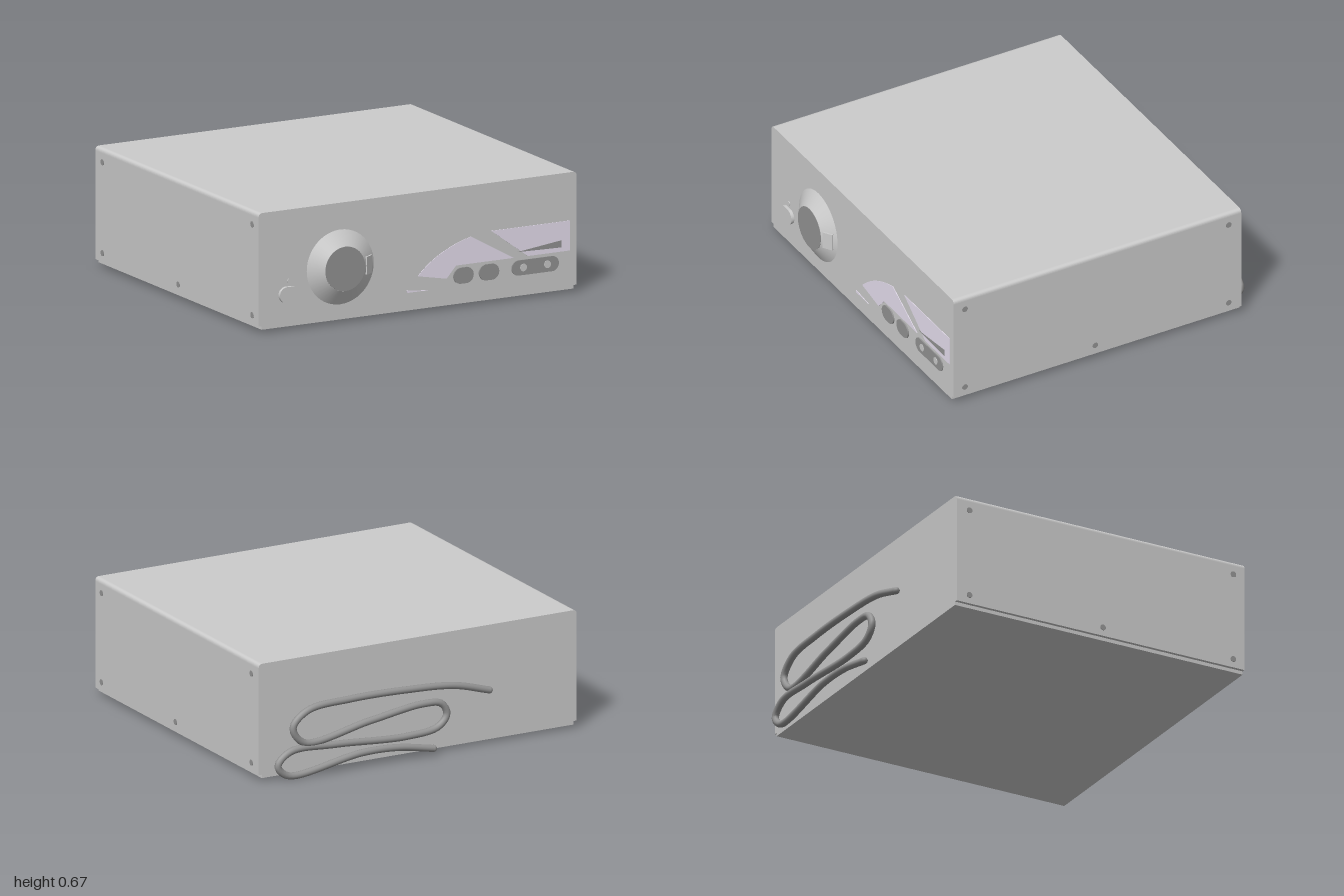
import * as THREE from 'three';

const grey = new THREE.MeshStandardMaterial({ color: 0xcccccc });
const dark = new THREE.MeshStandardMaterial({ color: 0x949494 });
const lilac = new THREE.MeshStandardMaterial({ color: 0xe8e0f0 });
const FRONT = 0.91, BACK = -0.9;

function add(parent, name, geometry, material, x = 0, y = 0, z = 0) {
  const mesh = new THREE.Mesh(geometry, material);
  mesh.name = name;
  mesh.position.set(x, y, z);
  parent.add(mesh);
  return mesh;
}

// Stadium outline centred on the origin
function pill(w, h) {
  const r = h / 2, a = w / 2 - r, s = new THREE.Shape();
  s.absarc(a, 0, r, -Math.PI / 2, Math.PI / 2, false);
  s.absarc(-a, 0, r, Math.PI / 2, Math.PI * 1.5, false);
  s.closePath();
  return s;
}

const extrude = (shape, depth) =>
  new THREE.ExtrudeGeometry(shape, { depth, bevelEnabled: false, curveSegments: 16 });

const polygon = pts => new THREE.Shape(pts.map(p => new THREE.Vector2(...p)));

// Disc facing +z
const disc = (r, depth) => new THREE.CylinderGeometry(r, r, depth, 24).rotateX(Math.PI / 2);

export function createModel() {
  const model = new THREE.Group();

  // Case: wrap-around cover with softened top edges over a narrower base
  const w = 0.997, top = 0.67, r = 0.025, cover = new THREE.Shape();
  cover.moveTo(-w, 0.035);
  cover.lineTo(w, 0.035);
  cover.lineTo(w, top - r);
  cover.quadraticCurveTo(w, top, w - r, top);
  cover.lineTo(-w + r, top);
  cover.quadraticCurveTo(-w, top, -w, top - r);
  cover.closePath();
  add(model, 'cover', extrude(cover, FRONT - BACK), grey, 0, 0, BACK);
  add(model, 'base', new THREE.BoxGeometry(1.955, 0.03, FRONT - BACK), grey, 0, 0.03, (FRONT + BACK) / 2);

  // Side screws
  for (const side of [-1, 1]) {
    for (const [z, y] of [[0.84, 0.595], [0.84, 0.085], [0.02, 0.085], [-0.82, 0.595], [-0.82, 0.085]]) {
      const screw = add(model, 'sideScrew', disc(0.017, 0.01), dark, side * 0.995, y, z);
      screw.rotation.y = Math.PI / 2;
    }
  }

  // Volume knob: cone skirt, dark face and a finger grip set on the slope
  const knob = new THREE.Group();
  knob.name = 'volumeKnob';
  knob.position.set(-0.485, 0.31, FRONT);
  model.add(knob);
  add(knob, 'knobSkirt', new THREE.CylinderGeometry(0.125, 0.21, 0.055, 48).rotateX(Math.PI / 2), grey, 0, 0, 0.0275);
  add(knob, 'knobFace', disc(0.125, 0.004), dark, 0, 0, 0.055);
  const grip = add(knob, 'knobGrip', new THREE.BoxGeometry(0.06, 0.1, 0.012), grey, 0.161, 0, 0.031);
  grip.rotation.y = Math.atan2(0.055, 0.085);

  // Power button and indicator
  add(model, 'powerButton', extrude(pill(0.125, 0.09), 0.018), grey, -0.81, 0.195, FRONT);
  add(model, 'indicator', disc(0.013, 0.01), grey, -0.805, 0.27, FRONT);

  // Selector buttons and socket strip
  for (const x of [0.285, 0.445])
    add(model, 'selectorButton', extrude(pill(0.125, 0.09), 0.008), dark, x, 0.172, FRONT);
  add(model, 'socketStrip', extrude(pill(0.295, 0.085), 0.006), dark, 0.735, 0.172, FRONT);
  for (const x of [0.66, 0.81])
    add(model, 'socket', disc(0.021, 0.006), grey, x, 0.172, FRONT + 0.006);

  // Painted front panels
  const fan = new THREE.Shape();
  fan.moveTo(0, 0.2);
  fan.quadraticCurveTo(0.13, 0.335, 0.335, 0.383);
  fan.lineTo(0.6, 0.232);
  fan.lineTo(0.24, 0.232);
  fan.lineTo(0.18, 0.165);
  fan.closePath();
  add(model, 'fanPanel', extrude(fan, 0.003), lilac, 0, 0, FRONT);
  add(model, 'displayPanel', extrude(polygon([[0.46, 0.4], [0.69, 0.232], [0.955, 0.232], [0.955, 0.4]]), 0.003), lilac, 0, 0, FRONT);
  add(model, 'levelWedge', extrude(polygon([[0.62, 0.262], [0.9, 0.256], [0.9, 0.296]]), 0.005), dark, 0, 0, FRONT);
  add(model, 'panelSliver', extrude(polygon([[-0.07, 0.127], [-0.065, 0.114], [0.07, 0.114]]), 0.003), lilac, 0, 0, FRONT);

  // Folded power cable behind the case
  const path = [
    [-0.42, 0.315], [-0.2, 0.375], [0.1, 0.397], [0.45, 0.4], [0.72, 0.375], [0.81, 0.29], [0.74, 0.195],
    [0.33, 0.255], [0, 0.3], [-0.12, 0.285], [-0.155, 0.22], [-0.1, 0.155], [0.1, 0.13], [0.55, 0.155],
    [0.83, 0.155], [0.905, 0.085], [0.84, 0.021], [0.38, 0.08], [0.15, 0.075], [-0.07, 0.035]
  ].map(([x, y]) => new THREE.Vector3(x, y, -0.95));
  const curve = new THREE.CatmullRomCurve3(path);
  const cable = new THREE.Group();
  cable.name = 'powerCable';
  model.add(cable);
  add(cable, 'cableRun', new THREE.TubeGeometry(curve, 200, 0.02, 12), dark);
  for (const p of [path[0], path[path.length - 1]])
    add(cable, 'cableEnd', new THREE.SphereGeometry(0.02, 12, 8), dark, p.x, p.y, p.z);

  return model;
}
